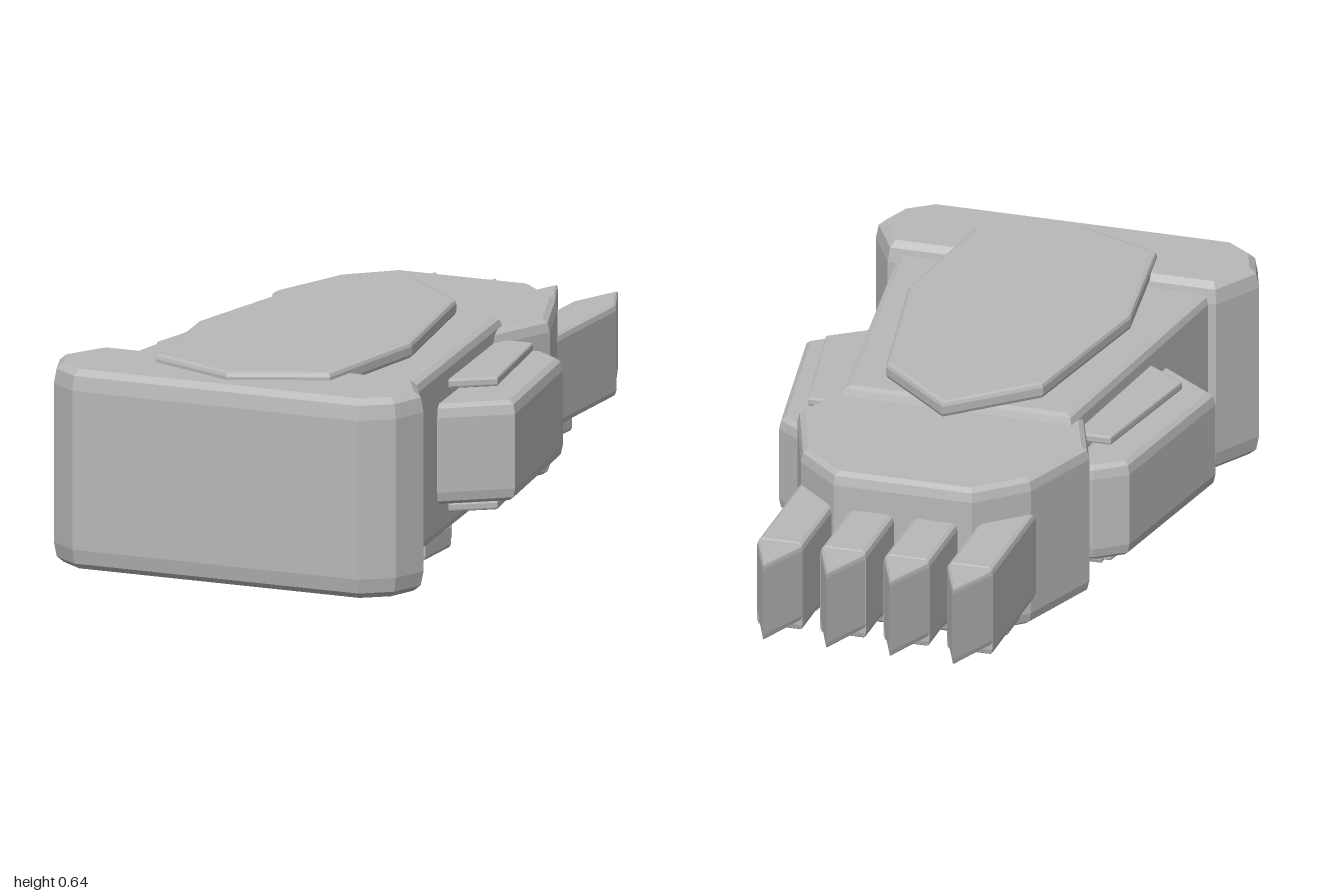
import * as THREE from 'three';

const grey = new THREE.MeshStandardMaterial({ color: 0xb8b8b8, flatShading: true });
grey.name = 'armour grey';

// Bevelled upright prism from an [x, z] outline; the outline is the widest extent
function prism(name, outline, y0, y1, size = 0.01, thick = size) {
  const shape = new THREE.Shape(outline.map(([x, z]) => new THREE.Vector2(x, -z)));
  const geometry = new THREE.ExtrudeGeometry(shape, {
    depth: y1 - y0 - 2 * thick, bevelEnabled: true, bevelSize: size,
    bevelThickness: thick, bevelOffset: -size, bevelSegments: 2,
  });
  geometry.rotateX(-Math.PI / 2).translate(0, y0 + thick, 0);
  const mesh = new THREE.Mesh(geometry, grey);
  mesh.name = name;
  return mesh;
}

const flip = (points) => points.map(([x, z]) => [-x, z]).reverse();
const symmetric = (half) => [...half, ...flip(half.filter(([x]) => x !== 0))];
const rect = (x, z, w, d) => [
  [x - w / 2, z - d / 2], [x + w / 2, z - d / 2], [x + w / 2, z + d / 2], [x - w / 2, z + d / 2],
];
const circle = (r, cz, n) => Array.from({ length: n }, (_, i) => {
  const a = (i / n) * Math.PI * 2;
  return [r * Math.cos(a), cz + r * Math.sin(a)];
});

export function createModel() {
  const model = new THREE.Group();
  model.name = 'armoured gauntlet';

  // Main masses
  model.add(
    prism('cuff', symmetric([[0.45, 0.7], [0.525, 0.835], [0.49, 0.935], [0.41, 0.995]]), 0.085, 0.622, 0.025, 0.055),
    prism('forearm', symmetric([[0.315, -0.135], [0.435, 0.75]]), 0.125, 0.59, 0.022, 0.025),
    prism('hand', symmetric([[0.19, -0.605], [0.315, -0.49], [0.4, -0.25], [0.325, -0.05]]), 0.145, 0.565, 0.02, 0.035),
  );

  // Long shield plates above and below the forearm
  const shield = symmetric([[0, -0.26], [0.215, -0.065], [0.305, 0.42], [0.25, 0.82], [0, 0.925]]);
  model.add(
    prism('upperShield', shield, 0.597, 0.642, 0.012),
    prism('lowerShield', shield, 0.07, 0.113, 0.012),
  );

  // Fingers with pointed claws and knuckle pads
  for (const x of [-0.26, -0.087, 0.087, 0.26]) {
    const finger = new THREE.Group();
    finger.name = 'finger';
    finger.add(
      prism('fingerBlock', rect(x, -0.66, 0.125, 0.38), 0.215, 0.465, 0.012, 0.018),
      prism('claw', [[x - 0.062, -0.83], [x - 0.062, -0.85], [x, -1], [x + 0.062, -0.85], [x + 0.062, -0.83]], 0.245, 0.462, 0.008, 0.015),
      prism('fingerPad', rect(x, -0.577, 0.07, 0.1), 0.17, 0.23, 0.01),
    );
    model.add(finger);
  }

  // Side pods with thin cover plates, and the pair of blades underneath
  const pod = [[0.33, -0.21], [0.4, -0.215], [0.48, -0.155], [0.563, 0.335], [0.4, 0.46], [0.36, 0.46]];
  const cover = [[0.28, -0.11], [0.415, -0.11], [0.488, 0.28], [0.355, 0.375], [0.28, 0.375]];
  const blade = [[0.045, 0.48], [0.145, 0.48], [0.145, 0.54], [0.105, 0.73], [0.065, 0.73]];
  for (const [side, mirror] of [['left', (p) => p], ['right', flip]]) {
    model.add(
      prism(side + 'Pod', mirror(pod), 0.22, 0.49, 0.018, 0.035),
      prism(side + 'UpperCover', mirror(cover), 0.51, 0.535, 0.006),
      prism(side + 'LowerCover', mirror(cover), 0.178, 0.203, 0.006),
      prism(side + 'Blade', mirror(blade), 0.04, 0.072, 0.008),
    );
  }

  // Round emitter beneath, ringed by eight short bars
  model.add(
    prism('emitterDisc', circle(0.188, 0.25, 32), 0, 0.035, 0.015, 0.012),
    prism('emitterHub', circle(0.165, 0.25, 32), 0.03, 0.08, 0.005),
  );
  for (let i = 0; i < 8; i++) {
    const bar = prism('ringBar', rect(0.277, 0, 0.055, 0.165), 0.032, 0.1, 0.01, 0.012);
    bar.position.z = 0.25;
    bar.rotation.y = (i * Math.PI) / 4;
    model.add(bar);
  }

  return model;
}
